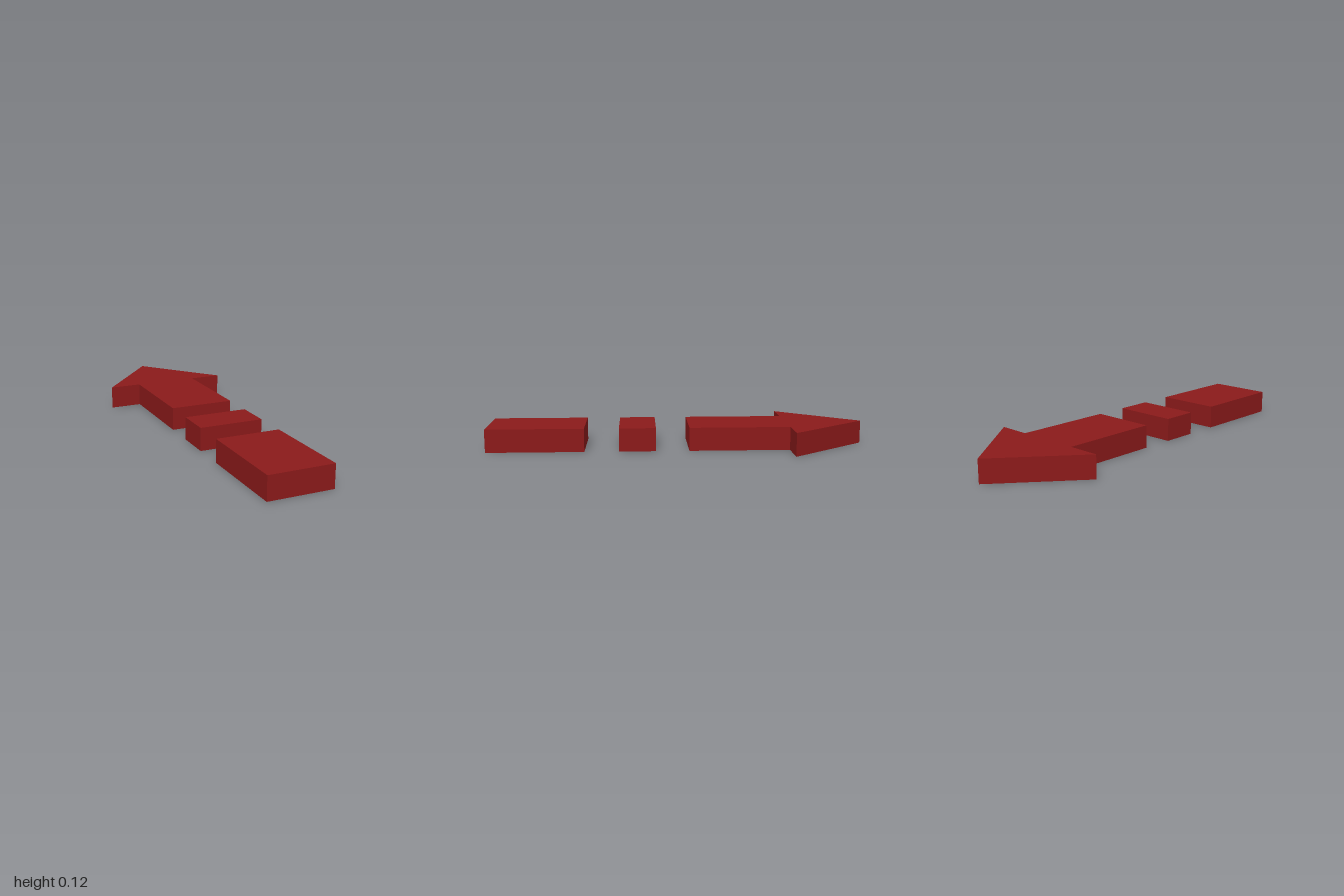
import * as THREE from 'three';
import { mergeGeometries } from 'three/addons/utils/BufferGeometryUtils.js';

const HEIGHT = 0.122;
const HALF = 0.171; // half width of the shaft
const HEAD = 0.341; // half width of the arrow head

// Thin shell with a flat top and outer walls, open underneath.
// The outline is counter-clockwise, as [x, -z] pairs.
function openShell(outline) {
  const points = outline.map(([x, v]) => new THREE.Vector2(x, v));
  const top = new THREE.ShapeGeometry(new THREE.Shape(points)).toNonIndexed();
  top.rotateX(-Math.PI / 2).translate(0, HEIGHT, 0);
  top.deleteAttribute('uv');

  const corners = [];
  points.forEach((a, i) => {
    const b = points[(i + 1) % points.length];
    const a0 = [a.x, 0, -a.y], b0 = [b.x, 0, -b.y];
    const a1 = [a.x, HEIGHT, -a.y], b1 = [b.x, HEIGHT, -b.y];
    corners.push(...a0, ...b0, ...b1, ...a0, ...b1, ...a1);
  });
  const walls = new THREE.BufferGeometry();
  walls.setAttribute('position', new THREE.Float32BufferAttribute(corners, 3));
  walls.computeVertexNormals();
  return mergeGeometries([top, walls]);
}

// Rectangular outline between two z positions
const block = (zFront, zBack) => [[-HALF, -zFront], [HALF, -zFront], [HALF, -zBack], [-HALF, -zBack]];

export function createModel() {
  const model = new THREE.Group();
  model.name = 'dashedArrow';
  const red = new THREE.MeshStandardMaterial({ color: 0x8b1a1a, side: THREE.DoubleSide });

  const parts = {
    tailBlock: block(1, 0.49),
    middleBlock: block(0.31, 0.118),
    // Shaft end and pointed head
    arrowHead: [
      [-HALF, 0.056], [HALF, 0.056], [HALF, 0.585], [HEAD, 0.585],
      [0, 1], [-HEAD, 0.585], [-HALF, 0.585],
    ],
  };
  for (const [name, outline] of Object.entries(parts)) {
    const mesh = new THREE.Mesh(openShell(outline), red);
    mesh.name = name;
    model.add(mesh);
  }
  return model;
}
